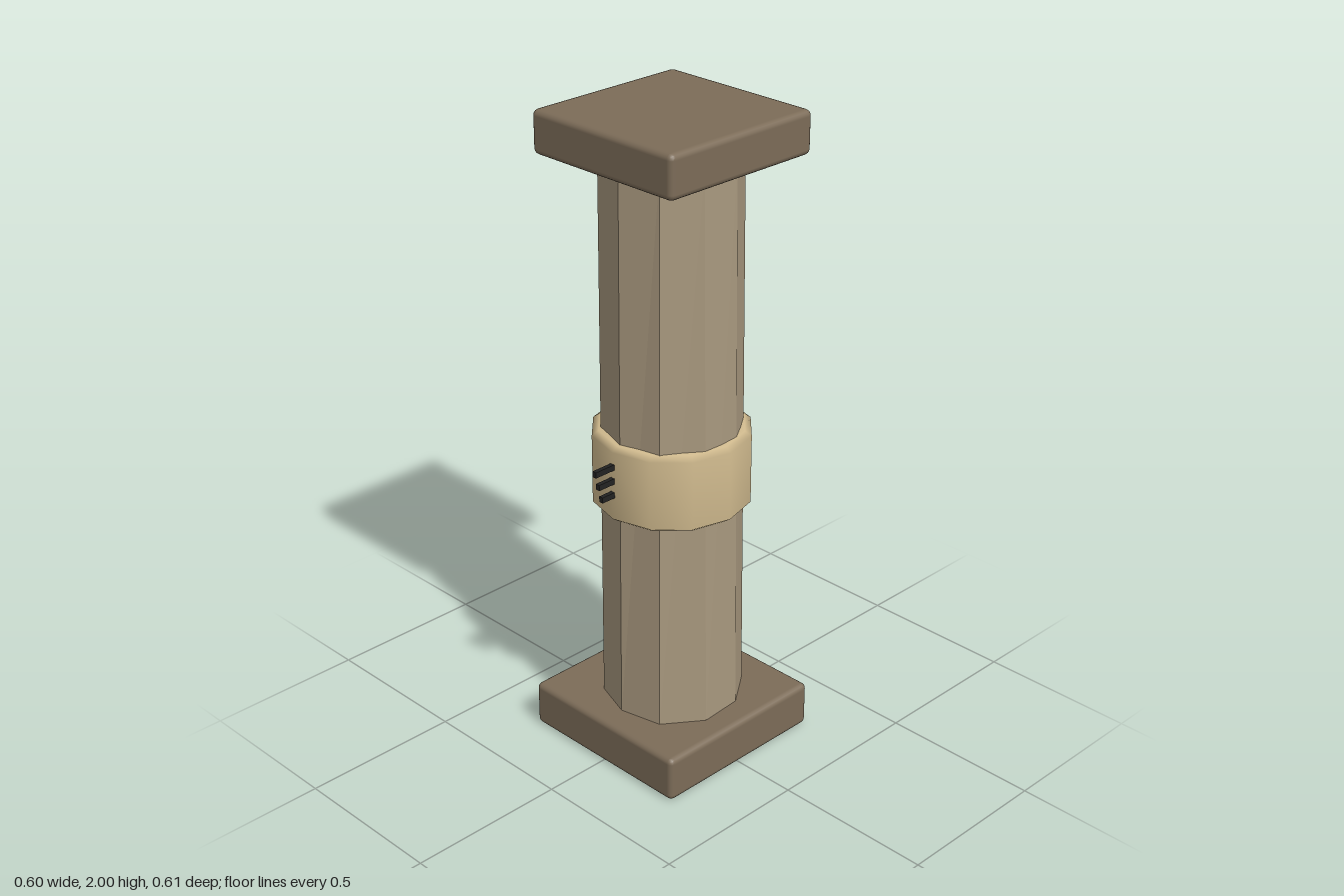
import * as THREE from 'three';
import { RoundedBoxGeometry } from 'three/addons/geometries/RoundedBoxGeometry.js';

const CENTER_Z = -0.006;

function addMesh(parent, name, geometry, color, x, y, z, flatShading = false) {
  const material = new THREE.MeshStandardMaterial({ color, flatShading });
  const mesh = new THREE.Mesh(geometry, material);
  mesh.name = name;
  mesh.position.set(x, y, z);
  parent.add(mesh);
  return mesh;
}

// Ten-sided shaft, a little uneven like rough-hewn stone
function shaftGeometry(bottomY, topY) {
  const bottom = [0.215, 0.23, 0.23, 0.22, 0.22, 0.222, 0.215, 0.22, 0.22, 0.212];
  const top = [0.204, 0.205, 0.195, 0.2, 0.206, 0.205, 0.205, 0.205, 0.205, 0.207];
  const geometry = new THREE.CylinderGeometry(1, 1, topY - bottomY, 10);
  const p = geometry.attributes.position;
  for (let i = 0; i < p.count; i++) {
    const x = p.getX(i), z = p.getZ(i);
    if (Math.hypot(x, z) < 0.5) continue;
    const side = (Math.round(Math.atan2(x, z) / (Math.PI / 5)) + 10) % 10;
    const r = (p.getY(i) > 0 ? top : bottom)[side];
    p.setX(i, x * r);
    p.setZ(i, z * r);
  }
  geometry.computeVertexNormals();
  return geometry;
}

export function createModel() {
  const pillar = new THREE.Group();
  pillar.name = 'pillar';

  // Square plates at foot and head
  addMesh(pillar, 'basePlate', new RoundedBoxGeometry(0.596, 0.145, 0.596, 2, 0.018),
    0x7c6c58, 0, 0.0725, CENTER_Z);
  addMesh(pillar, 'capPlate', new RoundedBoxGeometry(0.544, 0.13, 0.544, 2, 0.018),
    0x7c6c58, 0, 1.935, CENTER_Z);

  // Shaft, with its ends sunk into the plates
  addMesh(pillar, 'shaft', shaftGeometry(0.13, 1.89), 0xa8987e, 0, 1.01, CENTER_Z, true);

  // Smooth band around the middle
  const profile = [
    [0.19, -0.122], [0.22, -0.122], [0.24, -0.108],
    [0.24, 0.108], [0.22, 0.122], [0.19, 0.122],
  ].map(([r, y]) => new THREE.Vector2(r, y));
  addMesh(pillar, 'band', new THREE.LatheGeometry(profile, 12), 0xd0ba8e, 0, 0.928, CENTER_Z);

  // Three small pegs on the front of the band, longer towards the top
  [[0.9, 0.28], [0.945, 0.292], [0.99, 0.304]].forEach(([y, end], i) => {
    const start = 0.2;
    addMesh(pillar, `peg${i + 1}`, new THREE.BoxGeometry(0.014, 0.018, end - start),
      0x222222, 0, y, (start + end) / 2);
  });

  return pillar;
}
